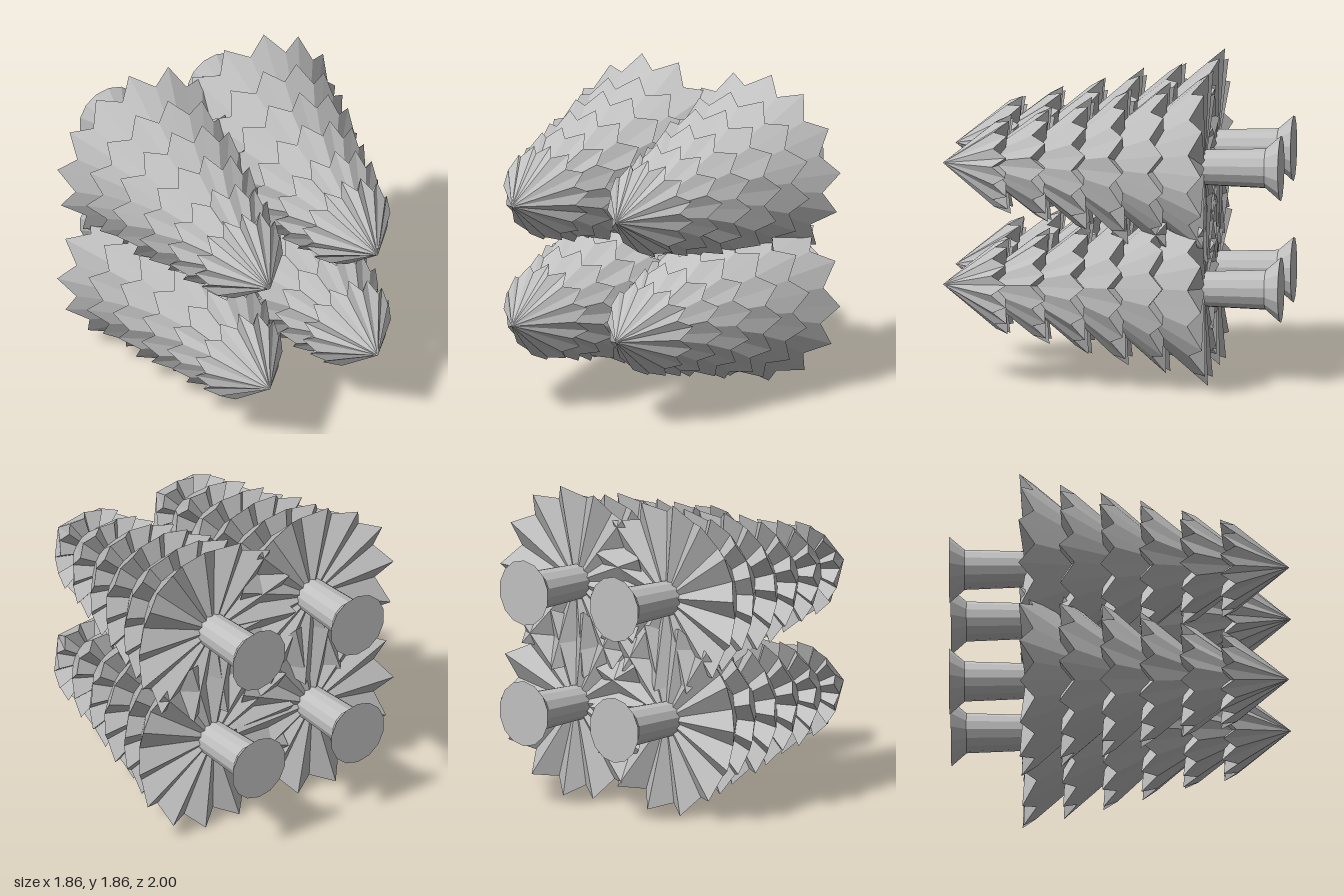
import * as THREE from 'three';

const POINTS = 14;
const STEP = (Math.PI * 2) / POINTS;

// z of the apex, z of the rim points, radius of the rim points
const TIERS = [
  [1.0, 0.6, 0.29],
  [0.84, 0.365, 0.345],
  [0.63, 0.125, 0.4],
  [0.43, -0.105, 0.46],
  [0.26, -0.345, 0.505],
  [0.1, -0.58, 0.575],
];

// x, y and angle of the rim points for each tree
const TREES = [
  [0.36, 1.32, 4.5],
  [-0.36, 1.32, 20.5],
  [0.36, 0.595, 21.5],
  [-0.36, 0.595, 24.6],
];

function seeded(seed) {
  let s = seed;
  return () => {
    s = (s * 16807) % 2147483647;
    return s / 2147483647 - 0.5;
  };
}

// Star-rimmed cone with a pleated back
function tierGeometry(apexZ, rimZ, radius, phase, rand) {
  const rim = [];
  for (let i = 0; i < POINTS * 2; i++) {
    const notch = i % 2 === 1;
    const a = phase + (i * STEP) / 2 + rand() * 0.04;
    const r = radius * (notch ? 0.875 : 1) * (1 + rand() * 0.03);
    const z = rimZ + (notch ? 0.085 : 0) + rand() * 0.012;
    rim.push([Math.cos(a) * r, Math.sin(a) * r, z]);
  }
  const apex = [0, 0, apexZ];
  const back = [0, 0, rimZ + 0.03];
  const pos = [];
  rim.forEach((p, i) => {
    const q = rim[(i + 1) % rim.length];
    pos.push(...apex, ...p, ...q, ...back, ...q, ...p);
  });
  const g = new THREE.BufferGeometry();
  g.setAttribute('position', new THREE.Float32BufferAttribute(pos, 3));
  g.computeVertexNormals();
  return g;
}

export function createModel() {
  const model = new THREE.Group();
  model.name = 'fourTrees';
  const grey = new THREE.MeshStandardMaterial({ color: 0xc0c0c0, flatShading: true });
  grey.name = 'grey';

  // Trunk with a flared foot, lying along z
  const trunkProfile = [[0, -1], [0.195, -1], [0.118, -0.91], [0.1, -0.4]]
    .map(([r, y]) => new THREE.Vector2(r, y));
  const trunkGeometry = new THREE.LatheGeometry(trunkProfile, 14).rotateX(Math.PI / 2);

  TREES.forEach(([x, y, degrees], t) => {
    const tree = new THREE.Group();
    tree.name = 'tree' + (t + 1);
    tree.position.set(x, y, 0);

    const trunk = new THREE.Mesh(trunkGeometry, grey);
    trunk.name = 'trunk';
    tree.add(trunk);

    // Neighbouring tiers are staggered by half a point
    const rand = seeded(101 + t * 977);
    TIERS.forEach(([apexZ, rimZ, radius], i) => {
      const phase = THREE.MathUtils.degToRad(degrees) + ((TIERS.length - 1 - i) % 2) * STEP / 2;
      const tier = new THREE.Mesh(tierGeometry(apexZ, rimZ, radius, phase, rand), grey);
      tier.name = 'branchTier' + (i + 1);
      tree.add(tier);
    });
    model.add(tree);
  });
  return model;
}
